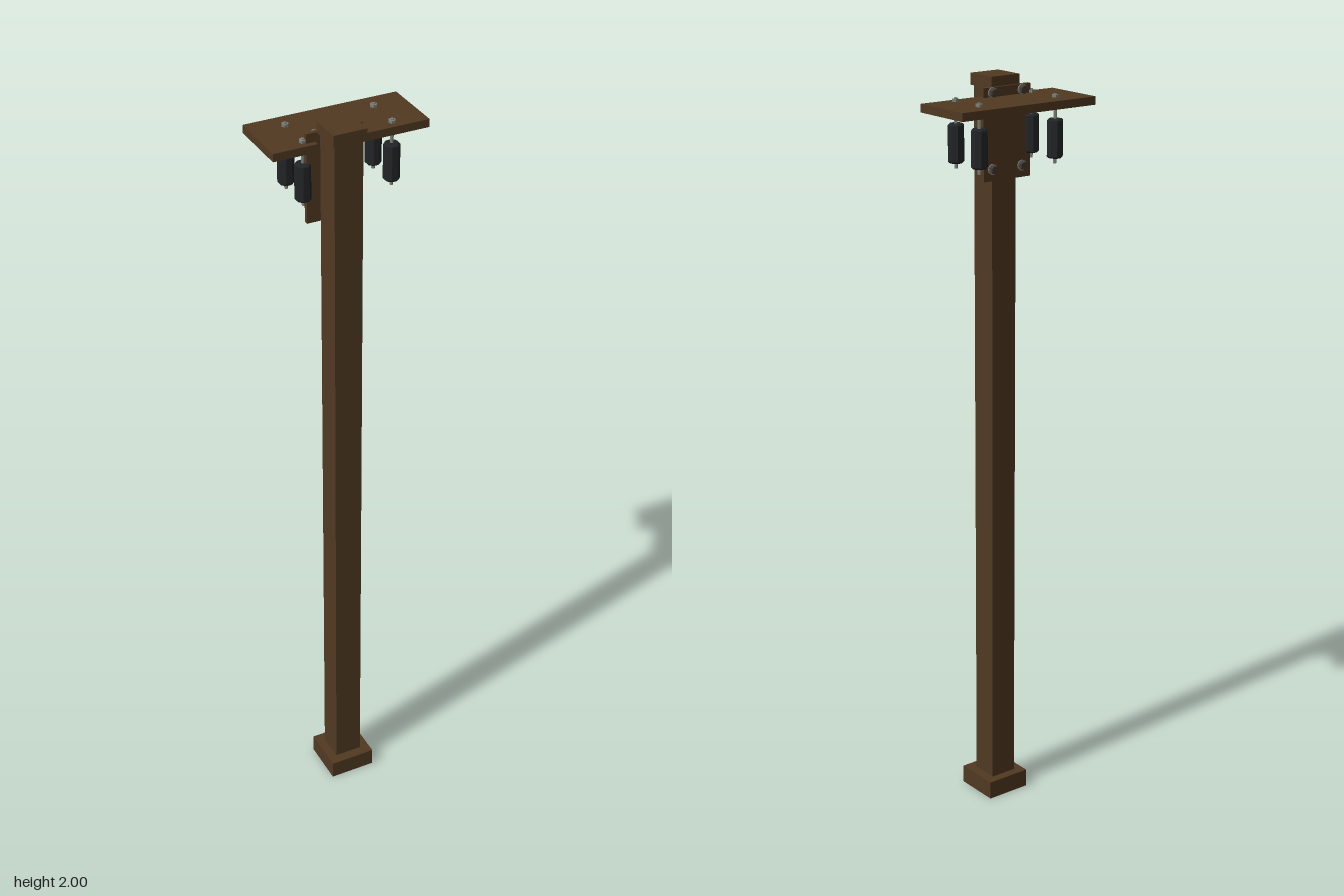
import * as THREE from 'three';

export function createModel() {
  const model = new THREE.Group();
  const material = (name, color) => {
    const m = new THREE.MeshStandardMaterial({ color, flatShading: true });
    m.name = name;
    return m;
  };
  const wood = material('brown wood', 0x513a22);
  const rubber = material('black insulator', 0x222527);
  const steel = material('grey steel', 0x7d8079);
  const darkSteel = material('dark bolt', 0x423a30);

  const add = (name, geometry, mat, x, y, z, parent = model) => {
    const mesh = new THREE.Mesh(geometry, mat);
    mesh.name = name;
    mesh.position.set(x, y, z);
    parent.add(mesh);
    return mesh;
  };
  const box = (name, x0, x1, y0, y1, z0, z1) => add(name,
    new THREE.BoxGeometry(x1 - x0, y1 - y0, z1 - z0), wood,
    (x0 + x1) / 2, (y0 + y1) / 2, (z0 + z1) / 2);

  // Post with foot and cap
  box('foot', -0.103, 0.023, 0, 0.05, 0.003, 0.129);
  box('post', -0.078, -0.003, 0.05, 1.97, 0.027, 0.102);
  box('cap', -0.084, 0.004, 1.97, 2, 0.021, 0.108);

  // Plate on the back of the post
  box('backPlate', -0.114, 0.033, 1.74, 1.975, 0.014, 0.0265);

  // Shelf, notched to fit around the post; shape y is model -z
  const outline = [[-0.206, 0.131], [-0.206, -0.04], [-0.09, -0.04], [-0.09, -0.025],
    [0.01, -0.025], [0.01, -0.04], [0.206, -0.04], [0.206, 0.131]];
  const shelfShape = new THREE.Shape(outline.map(([x, y]) => new THREE.Vector2(x, y)));
  const shelfGeometry = new THREE.ExtrudeGeometry(shelfShape, { depth: 0.021, bevelEnabled: false });
  shelfGeometry.rotateX(-Math.PI / 2);
  add('shelf', shelfGeometry, wood, 0, 1.93, 0);

  // Insulators hanging from threaded rods
  const bodyProfile = [[0, -0.049], [0.017, -0.049], [0.021, -0.045],
    [0.021, 0.045], [0.017, 0.049], [0, 0.049]].map(([r, y]) => new THREE.Vector2(r, y));
  const bodyGeometry = new THREE.LatheGeometry(bodyProfile, 8, Math.PI / 8);
  const rodGeometry = new THREE.CylinderGeometry(0.0045, 0.0045, 0.175, 6);
  const nutGeometry = new THREE.CylinderGeometry(0.0095, 0.0095, 0.007, 6);
  nutGeometry.rotateY(Math.PI / 6);
  for (const x of [-0.118, 0.118]) {
    for (const z of [-0.081, 0.015]) {
      const hanger = new THREE.Group();
      hanger.name = 'hangingInsulator';
      hanger.position.set(x, 0, z);
      model.add(hanger);
      add('insulatorBody', bodyGeometry, rubber, 0, 1.849, 0, hanger);
      add('rod', rodGeometry, steel, 0, 1.8735, 0, hanger);
      add('topNut', nutGeometry, steel, 0, 1.9545, 0, hanger);
    }
  }

  // Bolts and washers fixing the back plate
  const washerGeometry = new THREE.CylinderGeometry(0.014, 0.014, 0.003, 12);
  const headGeometry = new THREE.CylinderGeometry(0.0105, 0.0105, 0.009, 6);
  for (const g of [washerGeometry, headGeometry]) g.rotateX(Math.PI / 2);
  for (const x of [-0.087, 0.006]) {
    for (const y of [1.77, 1.962]) {
      add('plateWasher', washerGeometry, steel, x, y, 0.0125);
      add('plateBolt', headGeometry, darkSteel, x, y, 0.0065);
    }
  }
  return model;
}
